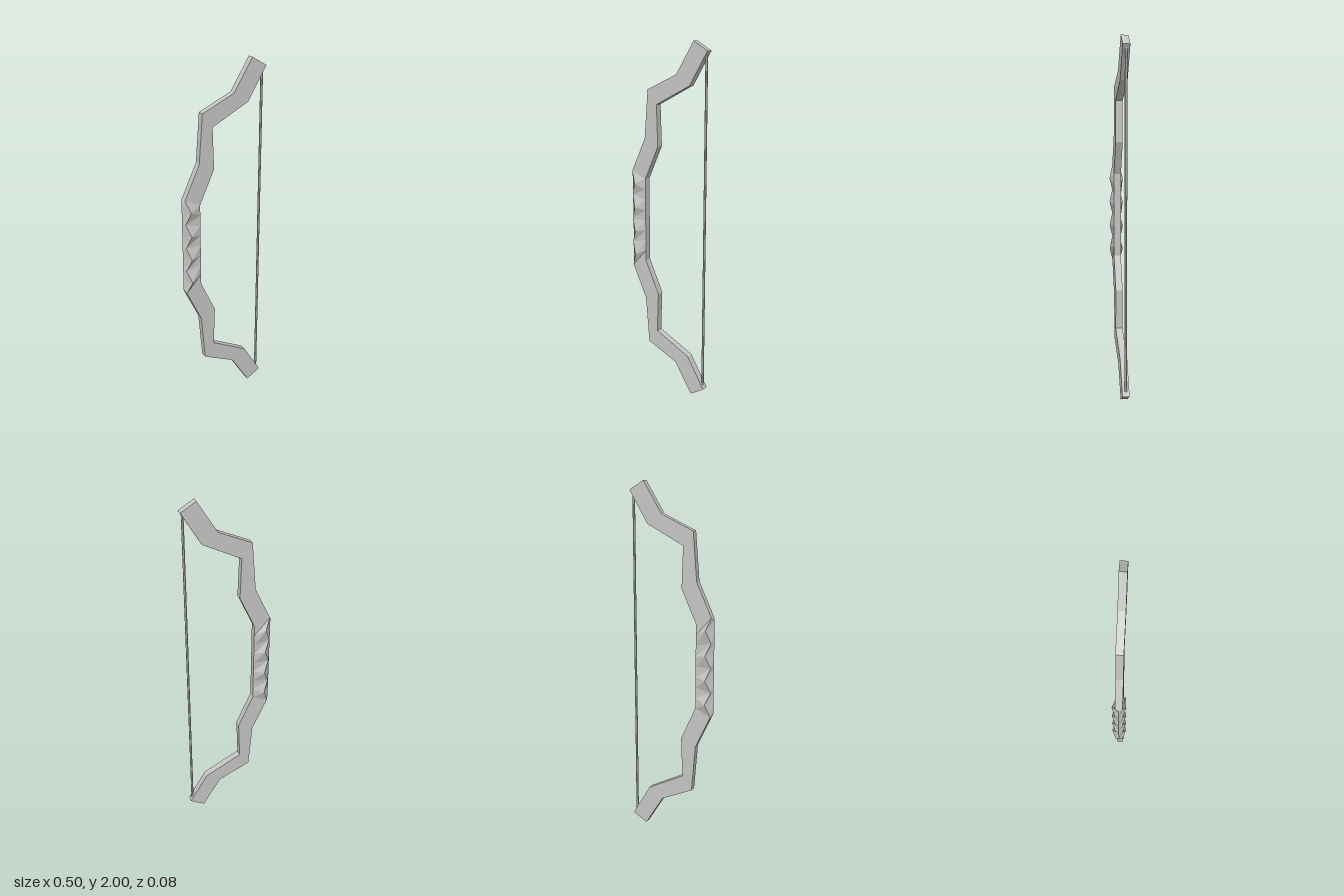
import * as THREE from 'three';

// Five-sided cross-section: front tip, left and right cheeks, left and right backs
const ring = (tip, side, sideZ, back, backZ) => [
  [tip[0], tip[1], 0],
  [side[0], side[1], sideZ],
  [back[0], back[1], backZ],
  [back[0], back[1], -backZ],
  [side[0], side[1], -sideZ],
];

// Skins rings listed from top to bottom, with optional end caps
function skin(rings, capTop, capBottom) {
  const pos = [];
  const tri = (a, b, c) => pos.push(...a, ...b, ...c);
  for (let r = 0; r < rings.length - 1; r++) {
    const up = rings[r], low = rings[r + 1];
    for (let i = 0; i < 5; i++) {
      const j = (i + 1) % 5;
      tri(low[i], low[j], up[j]);
      tri(low[i], up[j], up[i]);
    }
  }
  const top = rings[0], end = rings[rings.length - 1];
  for (let i = 1; i < 4; i++) {
    if (capTop) tri(top[0], top[i], top[i + 1]);
    if (capBottom) tri(end[0], end[i + 1], end[i]);
  }
  const geo = new THREE.BufferGeometry();
  geo.setAttribute('position', new THREE.Float32BufferAttribute(pos, 3));
  geo.computeVertexNormals();
  return geo;
}

export function createModel() {
  const group = new THREE.Group();
  const grey = new THREE.MeshStandardMaterial({ color: 0xc4c4c4 });
  grey.name = 'bowGrey';
  const add = (geo, name) => {
    const mesh = new THREE.Mesh(geo, grey);
    mesh.name = name;
    group.add(mesh);
  };
  const half = 0.02;

  // Limb stations from nock to grip: outer x, y, inner x, y
  const stations = [
    [0.163, 2.0, 0.247, 1.95],
    [0.055, 1.825, 0.14, 1.77],
    [-0.13, 1.74, -0.072, 1.66],
    [-0.152, 1.47, -0.064, 1.43],
  ];
  const limb = stations.map(([ox, oy, ix, iy]) =>
    ring([ox, oy], [ox, oy], half, [ix, iy], half));

  // Grip with four pairs of faceted ridges
  const grip = [];
  for (let i = 0; i <= 8; i++) {
    const peak = i % 2 === 1;
    grip.push(ring(
      [-0.251, 1.262 - 0.0655 * i],
      [peak ? -0.212 : -0.24, 1.28 - 0.07 * i], peak ? 0.039 : half,
      [-0.15, 1.24 - 0.06 * i], half));
  }

  // Lower limb mirrors the upper one
  const upper = [...limb, grip[0]];
  const lower = upper.map(r => r.map(([x, y, z]) => [x, 2 - y, z])).reverse();
  add(skin(upper, true, false), 'upperLimb');
  add(skin(grip, false, false), 'grip');
  add(skin(lower, false, true), 'lowerLimb');

  // Bowstring
  const string = new THREE.CylinderGeometry(0.007, 0.007, 1.87, 6).toNonIndexed();
  string.computeVertexNormals();
  string.translate(0.231, 1, 0);
  add(string, 'bowstring');

  return group;
}
